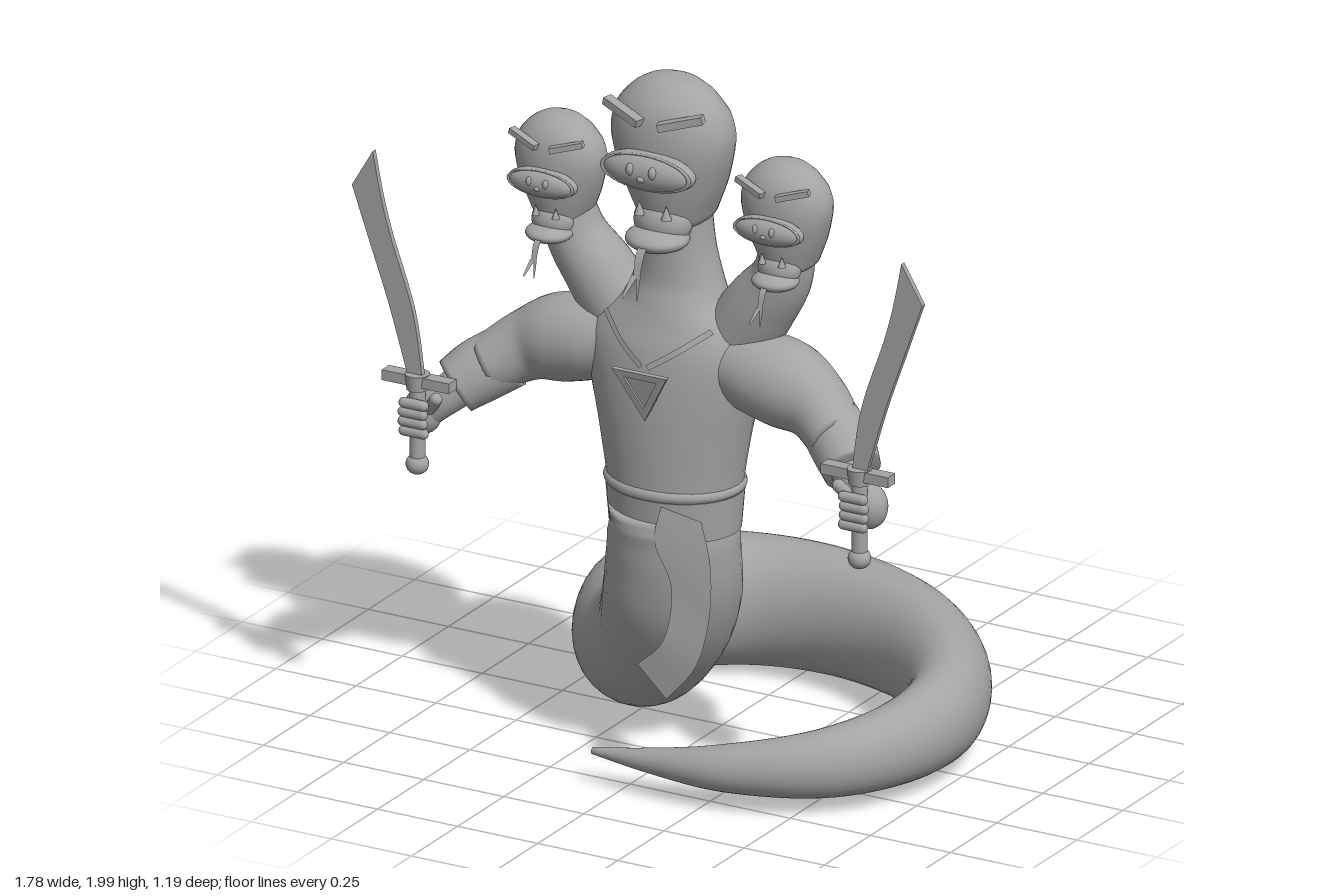
import * as THREE from 'three';

const V = (p) => new THREE.Vector3(...p);
const skin = new THREE.MeshStandardMaterial({ color: 0xa4a4a4, side: THREE.DoubleSide });
skin.name = 'stone grey';

function part(name, geometry, parent, pos = [0, 0, 0], scale = [1, 1, 1], rot = [0, 0, 0]) {
  const m = new THREE.Mesh(geometry, skin);
  m.name = name;
  m.position.set(...pos);
  m.scale.set(...scale);
  m.rotation.set(...rot);
  parent.add(m);
  return m;
}

// Smooth elliptical loft: stations are [x, y, z, side radius, other radius]
function loft(stations, ref, steps = 40, around = 28) {
  const path = new THREE.CatmullRomCurve3(stations.map((s) => V(s.slice(0, 3))));
  const radii = new THREE.CatmullRomCurve3(stations.map((s) => new THREE.Vector3(s[3], s[4], 0)), false, 'catmullrom');
  const pos = [], index = [];
  for (let i = 0; i <= steps; i++) {
    const c = path.getPoint(i / steps), t = path.getTangent(i / steps), r = radii.getPoint(i / steps);
    const s = V(ref).cross(t).normalize(), u = t.clone().cross(s);
    for (let j = 0; j < around; j++) {
      const a = (j / around) * Math.PI * 2;
      const p = c.clone().addScaledVector(s, Math.cos(a) * r.x).addScaledVector(u, Math.sin(a) * r.y);
      pos.push(p.x, p.y, p.z);
      if (i === steps) continue;
      const a0 = i * around + j, b0 = i * around + (j + 1) % around;
      index.push(a0, b0, a0 + around, b0, b0 + around, a0 + around);
    }
  }
  // end caps
  const n = pos.length / 3;
  pos.push(...stations[0].slice(0, 3), ...stations[stations.length - 1].slice(0, 3));
  for (let j = 0; j < around; j++) {
    const k = (j + 1) % around, e = steps * around;
    index.push(n, k, j, n + 1, e + j, e + k);
  }
  const g = new THREE.BufferGeometry();
  g.setAttribute('position', new THREE.Float32BufferAttribute(pos, 3));
  g.setIndex(index);
  g.computeVertexNormals();
  return g;
}

// Thin cloth strip between two edge curves
function strip(left, right, steps = 16) {
  const l = new THREE.CatmullRomCurve3(left.map(V)), r = new THREE.CatmullRomCurve3(right.map(V));
  const pos = [], index = [];
  for (let i = 0; i <= steps; i++) {
    pos.push(...l.getPoint(i / steps).toArray(), ...r.getPoint(i / steps).toArray());
    const a = i * 2;
    if (i < steps) index.push(a, a + 2, a + 1, a + 1, a + 2, a + 3);
  }
  const g = new THREE.BufferGeometry();
  g.setAttribute('position', new THREE.Float32BufferAttribute(pos, 3));
  g.setIndex(index);
  g.computeVertexNormals();
  return g;
}

const UP = [0, 1, 0], FRONT = [0, 0, 1];
const ball = new THREE.SphereGeometry(1, 24, 16);

// Hooded head, built about its crown at the origin
function createHead() {
  const g = new THREE.Group();
  part('hood', loft([
    [0, -0.41, -0.02, 0.1, 0.125], [0, -0.3, -0.005, 0.148, 0.137], [0, -0.18, 0.012, 0.18, 0.134],
    [0, -0.1, 0.012, 0.165, 0.12], [0, -0.04, 0.005, 0.115, 0.083], [0, -0.012, 0.001, 0.065, 0.045],
    [0, 0, 0, 0.002, 0.002]], FRONT, 40, 32), g);
  part('upperLip', ball, g, [0, -0.24, 0.145], [0.145, 0.055, 0.05]);
  part('lipRim', new THREE.TorusGeometry(1, 0.05, 8, 40), g, [0, -0.24, 0.165], [0.135, 0.05, 0.1]);
  part('chin', ball, g, [0, -0.41, 0.07], [0.085, 0.07, 0.065]);
  part('lowerJaw', ball, g, [0, -0.45, 0.1], [0.09, 0.035, 0.085]);
  part('noseTip', ball, g, [0, -0.25, 0.19], [0.012, 0.01, 0.012]);
  for (const s of [1, -1]) {
    part('brow', new THREE.BoxGeometry(0.13, 0.022, 0.03), g, [s * 0.09, -0.09, 0.13], [1, 1, 1], [0, s * 0.25, s * 0.28]);
    part('nostril', ball, g, [s * 0.035, -0.228, 0.188], [0.012, 0.018, 0.012]);
    part('fang', new THREE.ConeGeometry(0.015, 0.04, 12), g, [s * 0.042, -0.362, 0.125]);
    part('tongueFork', strip([[0, -0.53, 0.215], [s * 0.02, -0.58, 0.25]], [[s * 0.014, -0.52, 0.215], [s * 0.024, -0.575, 0.25]], 4), g);
  }
  part('tongue', strip([[-0.013, -0.43, 0.16], [-0.013, -0.47, 0.195], [-0.01, -0.53, 0.215]],
    [[0.013, -0.43, 0.16], [0.013, -0.47, 0.195], [0.01, -0.53, 0.215]]), g);
  return g;
}

// Arm, fist and sword on the +x side
function createArm() {
  const g = new THREE.Group();
  part('upperArm', loft([[0.16, 1.19, 0.25, 0.1, 0.1], [0.26, 1.175, 0.25, 0.12, 0.118], [0.36, 1.155, 0.255, 0.118, 0.122],
    [0.45, 1.12, 0.27, 0.095, 0.1], [0.55, 1.06, 0.325, 0.08, 0.08]], UP), g);
  part('cuff', loft([[0.5, 1.085, 0.285, 0.085, 0.092], [0.57, 1.04, 0.33, 0.088, 0.09], [0.62, 1.0, 0.37, 0.08, 0.08]], UP, 12), g);
  part('wrist', loft([[0.59, 1.02, 0.35, 0.06, 0.06], [0.65, 0.965, 0.395, 0.05, 0.052], [0.69, 0.93, 0.42, 0.04, 0.05]], UP, 12), g);
  part('palm', ball, g, [0.695, 0.93, 0.415], [0.055, 0.066, 0.05]);
  for (let i = 0; i < 4; i++) {
    part('finger', new THREE.CapsuleGeometry(0.015, 0.06, 5, 12), g,
      [0.69 - Math.abs(i - 1.5) * 0.003, 0.973 - i * 0.027, 0.483], [1, 1, 1], [0, 0, Math.PI / 2]);
  }
  part('thumb', new THREE.CapsuleGeometry(0.018, 0.06, 5, 12), g, [0.645, 0.97, 0.45], [1, 1, 1], [0.5, 0, 0.6]);

  const sword = new THREE.Group();
  sword.name = 'sword';
  g.add(sword);
  part('grip', new THREE.CylinderGeometry(0.022, 0.022, 0.25, 16), sword, [0.69, 0.91, 0.455]);
  part('pommel', ball, sword, [0.69, 0.79, 0.455], [0.032, 0.03, 0.032]);
  part('guard', new THREE.BoxGeometry(0.21, 0.03, 0.04), sword, [0.685, 1.035, 0.455]);
  part('guardCollar', new THREE.CylinderGeometry(0.035, 0.03, 0.045, 16), sword, [0.69, 1.03, 0.455]);
  const blade = new THREE.Shape();
  blade.moveTo(0.67, 1.04);
  blade.splineThru([[0.7, 1.23], [0.77, 1.44], [0.8, 1.55], [0.825, 1.675]].map((p) => new THREE.Vector2(...p)));
  blade.lineTo(0.89, 1.565);
  blade.splineThru([[0.835, 1.41], [0.775, 1.24], [0.715, 1.04]].map((p) => new THREE.Vector2(...p)));
  part('blade', new THREE.ExtrudeGeometry(blade, { depth: 0.016, bevelEnabled: false }), sword, [0, 0, 0.447]);
  return g;
}

export function createModel() {
  const model = new THREE.Group();
  model.name = 'threeHeadedSerpent';

  // Coiled tail, from the waist round the back to the tip in front
  part('tail', loft([
    [0, 0.75, 0.262, 0.18, 0.16], [-0.004, 0.62, 0.257, 0.183, 0.16], [-0.025, 0.49, 0.225, 0.19, 0.168],
    [-0.09, 0.36, 0.15, 0.185, 0.18], [-0.2, 0.25, 0.06, 0.175, 0.19], [-0.31, 0.21, -0.04, 0.16, 0.195],
    [-0.36, 0.207, -0.16, 0.15, 0.197], [-0.31, 0.205, -0.31, 0.15, 0.193], [-0.14, 0.2, -0.43, 0.145, 0.185],
    [0.1, 0.198, -0.46, 0.14, 0.178], [0.37, 0.192, -0.385, 0.133, 0.168], [0.58, 0.185, -0.21, 0.12, 0.152],
    [0.68, 0.175, 0, 0.106, 0.135], [0.66, 0.16, 0.22, 0.095, 0.115], [0.54, 0.145, 0.41, 0.082, 0.095],
    [0.3, 0.125, 0.525, 0.062, 0.065], [0.08, 0.112, 0.547, 0.033, 0.034], [-0.09, 0.105, 0.545, 0.01, 0.01]], UP, 120, 32), model);

  // Torso and middle neck
  part('torso', loft([
    [0, 0.7, 0.255, 0.185, 0.16], [0, 0.83, 0.255, 0.195, 0.163], [0, 0.98, 0.255, 0.222, 0.165], [0, 1.1, 0.253, 0.25, 0.162],
    [0, 1.2, 0.25, 0.265, 0.152], [0, 1.275, 0.242, 0.235, 0.135], [0, 1.34, 0.237, 0.16, 0.12], [0, 1.4, 0.235, 0.13, 0.105],
    [0, 1.5, 0.24, 0.106, 0.095], [0, 1.66, 0.25, 0.095, 0.09]], FRONT, 50, 36), model);

  // Belt and sash
  part('beltBand', new THREE.CylinderGeometry(1, 0.95, 0.115, 40), model, [0, 0.75, 0.255], [0.197, 1, 0.167]);
  part('beltRing', new THREE.TorusGeometry(0.185, 0.018, 10, 48), model, [0, 0.822, 0.255], [1, 0.85, 1], [Math.PI / 2, 0, 0]);
  part('sash', strip(
    [[0.05, 0.8, 0.42], [0.035, 0.7, 0.43], [0.09, 0.58, 0.435], [0.08, 0.43, 0.46], [0, 0.345, 0.46]],
    [[0.165, 0.77, 0.4], [0.205, 0.65, 0.42], [0.213, 0.5, 0.445], [0.18, 0.37, 0.46], [0.09, 0.26, 0.46]], 24), model);

  // Necklace with triangular pendant
  const tri = (k, Type) => {
    const s = new Type();
    s.moveTo(-0.085 * k, 0.05 * k);
    s.lineTo(0.085 * k, 0.05 * k);
    s.lineTo(0, -0.1 * k);
    s.closePath();
    return s;
  };
  const frame = tri(1, THREE.Shape);
  frame.holes.push(tri(0.6, THREE.Path));
  part('pendantFrame', new THREE.ExtrudeGeometry(frame, { depth: 0.012, bevelEnabled: false }), model, [0, 1.14, 0.43], [1, 1, 1], [0.2, 0, 0]);
  part('pendantStone', new THREE.ExtrudeGeometry(tri(0.6, THREE.Shape), { depth: 0.006, bevelEnabled: false }), model, [0, 1.14, 0.43], [1, 1, 1], [0.2, 0, 0]);

  const head = createHead();
  head.name = 'middleHead';
  head.position.set(0, 2, 0.252);
  model.add(head);

  for (const s of [1, -1]) {
    const name = s > 0 ? 'left' : 'right';
    part(name + 'Chain', strip([[s * 0.172, 1.3, 0.345], [s * 0.09, 1.24, 0.4], [s * 0.015, 1.19, 0.425]],
      [[s * 0.16, 1.312, 0.345], [s * 0.08, 1.253, 0.4], [s * 0.005, 1.203, 0.425]]), model);
    part(name + 'Neck', loft([[s * 0.18, 1.26, 0.22, 0.105, 0.1], [s * 0.25, 1.36, 0.225, 0.1, 0.098],
      [s * 0.32, 1.46, 0.235, 0.085, 0.085], [s * 0.355, 1.6, 0.25, 0.07, 0.07]], FRONT, 24), model);
    const side = createHead();
    side.name = name + 'Head';
    side.scale.setScalar(0.74);
    side.position.set(s * 0.353, 1.82, 0.252);
    model.add(side);
    const arm = createArm();
    arm.name = name + 'Arm';
    arm.scale.x = s;
    model.add(arm);
  }
  return model;
}
